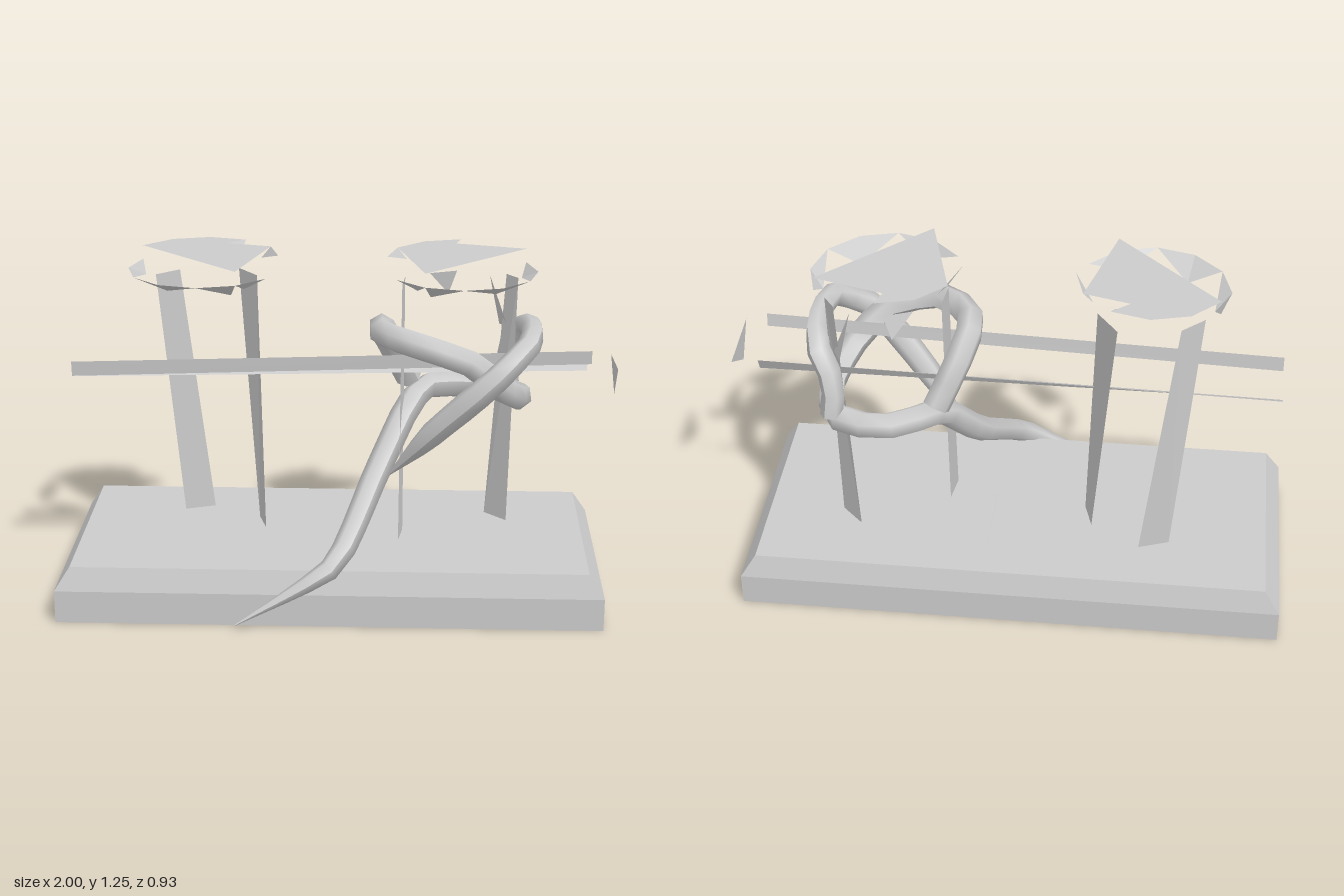
import * as THREE from 'three';

const solid = new THREE.MeshStandardMaterial({ color: 0xcccccc });
const thin = new THREE.MeshStandardMaterial({ color: 0xcccccc, side: THREE.DoubleSide, flatShading: true });
const smooth = new THREE.MeshStandardMaterial({ color: 0xcccccc, side: THREE.DoubleSide });

// Flat sheet: a fan of triangles over a few corner points
function sheet(name, corners) {
  const pos = [];
  for (let i = 1; i < corners.length - 1; i++) pos.push(...corners[0], ...corners[i], ...corners[i + 1]);
  const geo = new THREE.BufferGeometry();
  geo.setAttribute('position', new THREE.Float32BufferAttribute(pos, 3));
  geo.computeVertexNormals();
  const mesh = new THREE.Mesh(geo, thin);
  mesh.name = name;
  return mesh;
}

// Tube through points whose radius varies along its length
function taperedTube(name, points, radii, segments) {
  const curve = new THREE.CatmullRomCurve3(points.map(p => new THREE.Vector3(...p)), false, 'catmullrom', 0.25);
  const sides = 6;
  const geo = new THREE.TubeGeometry(curve, segments, 1, sides);
  const pos = geo.attributes.position;
  const v = new THREE.Vector3();
  for (let i = 0; i <= segments; i++) {
    const u = i / segments;
    const centre = curve.getPointAt(u);
    const f = u * (radii.length - 1);
    const k = Math.min(Math.floor(f), radii.length - 2);
    const r = THREE.MathUtils.lerp(radii[k], radii[k + 1], f - k);
    for (let j = 0; j <= sides; j++) {
      const n = i * (sides + 1) + j;
      v.fromBufferAttribute(pos, n).sub(centre).multiplyScalar(r).add(centre);
      pos.setXYZ(n, v.x, v.y, v.z);
    }
  }
  geo.computeVertexNormals();
  const mesh = new THREE.Mesh(geo, smooth);
  mesh.name = name;
  return mesh;
}

// Base slab: a box below, a chamfered slab above
function makeBase() {
  const base = new THREE.Group();
  base.name = 'base';
  const lower = new THREE.Mesh(new THREE.BoxGeometry(1.96, 0.12, 0.86), solid);
  lower.name = 'baseBlock';
  lower.position.set(-0.02, 0.06, -0.04);
  const geo = new THREE.BoxGeometry(1.96, 0.085, 0.86);
  const pos = geo.attributes.position;
  for (let i = 0; i < pos.count; i++) {
    if (pos.getY(i) > 0) {
      pos.setX(i, Math.sign(pos.getX(i)) * 0.925);
      pos.setZ(i, Math.sign(pos.getZ(i)) * 0.405);
    }
  }
  geo.computeVertexNormals();
  const upper = new THREE.Mesh(geo, solid);
  upper.name = 'baseChamfer';
  upper.position.set(-0.02, 0.1625, -0.04);
  base.add(lower, upper);
  base.add(sheet('baseSliver', [[0.045, 0.125, -0.47], [0.08, 0.205, -0.44], [0.065, 0.206, 0]]));
  return base;
}

// Broken cap: flat top plus loose rim pieces on a twelve-point ring
function makeCap(name, cx, side, top, notchAfter, notch) {
  const cap = new THREE.Group();
  cap.name = name;
  const cz = -0.045;
  const ring = (k, y) => {
    const a = k * Math.PI / 6;
    return [cx + side * 0.27 * Math.cos(a), y, cz + 0.27 * Math.sin(a)];
  };
  const at = (x, y, z) => [cx + side * x, y, z];
  const shape = new THREE.Shape();
  top.forEach((k, i) => {
    const [x, , z] = ring(k, 0);
    if (i) shape.lineTo(x, -z); else shape.moveTo(x, -z);
    if (k === notchAfter) shape.lineTo(cx + side * notch[0], -notch[1]);
  });
  const plate = new THREE.Mesh(new THREE.ShapeGeometry(shape).rotateX(-Math.PI / 2), thin);
  plate.name = 'capTop';
  plate.position.y = 1.25;
  cap.add(plate);

  // each rim piece: a point below, then the ring points it joins
  const pieces = [
    [at(-0.215, 1.16, -0.107), 5, 6, 7],
    [at(-0.115, 1.15, 0.08), 5, 4, 3],
    [at(0.115, 1.15, 0.13), 3, 2],
    [at(0.16, 1.17, 0.12), 2, 1],
  ];
  for (const [low, ...ks] of pieces) cap.add(sheet('capRim', [low, ...ks.map(k => ring(k, 1.2))]));
  cap.add(sheet('capEdge', [ring(11, 1.25), ring(0, 1.25), at(0.2, 1.21, -0.17)]));
  cap.add(sheet('capEdge', [ring(9, 1.25), ring(10, 1.25), at(0.12, 1.21, -0.2)]));
  return cap;
}

export function createModel() {
  const model = new THREE.Group();
  model.name = 'model';
  model.add(makeBase());

  // Column staves: [bottom x, z, x, z, top x, z, x, z]
  const staves = [
    [-0.59, -0.21, -0.48, -0.25, -0.59, -0.22, -0.67, -0.145],
    [-0.30, -0.14, -0.27, -0.035, -0.30, -0.145, -0.375, -0.25],
    [0.225, 0.07, 0.24, -0.035, 0.24, -0.145, 0.23, -0.035],
    [0.55, -0.22, 0.63, -0.14, 0.65, -0.145, 0.61, -0.20],
  ];
  for (const s of staves) {
    model.add(sheet('columnStave', [[s[0], 0.2, s[1]], [s[2], 0.2, s[3]], [s[4], 1.15, s[5]], [s[6], 1.15, s[7]]]));
  }

  // Caps above the columns
  model.add(makeCap('rightCap', -0.485, 1, [7, 8, 9, 10, 11, 2], 10, [0.07, -0.225]));
  model.add(makeCap('leftCap', 0.445, -1, [7, 9, 10, 11, 2], 7, [0.02, -0.25]));

  // Long strips lying across, and the loose plate at their left end
  model.add(sheet('frontStrip', [[-0.96, 0.82, 0.05], [0.91, 0.885, 0.045], [0.91, 0.935, 0.05], [-0.96, 0.875, 0.055]]));
  model.add(sheet('backStrip', [[-0.96, 0.78, -0.07], [0.91, 0.81, -0.115], [0.91, 0.86, -0.14], [-0.96, 0.805, -0.115]]));
  model.add(sheet('endPlate', [[1, 0.88, 0.09], [1, 0.76, 0], [1, 0.86, -0.16]]));

  // Coiled body: tail from the ground, round the back and over the front
  model.add(taperedTube('coilWithTail', [
    [-0.35, 0.03, 0.46], [0, 0.23, 0.375], [0.14, 0.46, 0.07], [0.25, 0.66, -0.1], [0.32, 0.71, -0.22],
    [0.46, 0.7, -0.28], [0.63, 0.7, -0.22], [0.66, 0.73, -0.05], [0.61, 0.79, 0.1], [0.48, 0.92, 0.18],
    [0.3, 0.98, 0.17], [0.17, 0.99, 0.06], [0.16, 0.97, -0.1], [0.26, 0.75, -0.2],
  ], [0.002, 0.042, 0.048, 0.05, 0.05, 0.05, 0.05, 0.05], 30));

  // Second strand rising across the front and dropping at the back
  model.add(taperedTube('frontCoil', [
    [0.19, 0.46, 0.06], [0.35, 0.66, 0.16], [0.55, 0.87, 0.24], [0.68, 0.98, 0.14], [0.7, 0.99, -0.02],
    [0.68, 0.97, -0.18], [0.62, 0.85, -0.23], [0.63, 0.72, -0.25],
  ], [0.004, 0.045, 0.05, 0.045, 0.04, 0.045, 0.04], 16));

  // Loose shards under the left cap
  model.add(sheet('shard', [[0.33, 1.15, -0.2], [0.43, 1.15, -0.24], [0.4, 1.06, -0.25]]));
  model.add(sheet('shard', [[0.55, 1.14, -0.22], [0.62, 0.95, -0.18], [0.59, 0.95, -0.24]]));
  return model;
}
